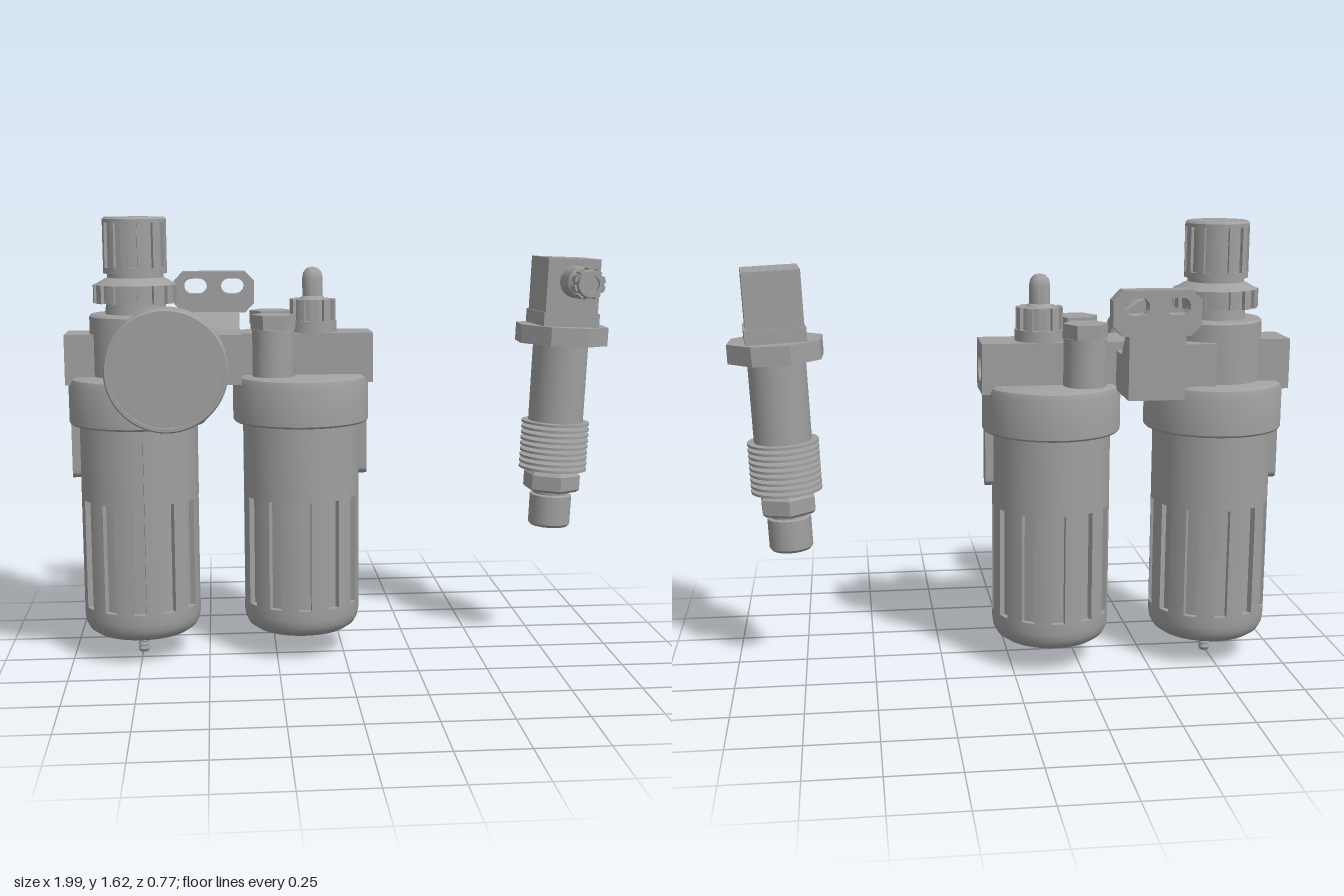
import * as THREE from 'three';
import { toCreasedNormals } from 'three/addons/utils/BufferGeometryUtils.js';

const metal = new THREE.MeshStandardMaterial({ color: 0xa0a0a0 });
metal.name = 'plain grey';

const CZ = -0.07;            // depth of the body's centre line
const FILTER_X = -0.746, OILER_X = -0.152;

function add(parent, name, geo, x = 0, y = 0, z = 0) {
  const m = new THREE.Mesh(toCreasedNormals(geo, 0.6), metal);
  m.name = name;
  m.position.set(x, y, z);
  parent.add(m);
  return m;
}

// Box given by its limits
function block(parent, name, x0, x1, y0, y1, z0, z1) {
  return add(parent, name, new THREE.BoxGeometry(x1 - x0, y1 - y0, z1 - z0),
    (x0 + x1) / 2, (y0 + y1) / 2, (z0 + z1) / 2);
}

// Turned solid from [radius, height] pairs, bottom to top
const turned = (pts, sides = 48) =>
  new THREE.LatheGeometry(pts.map(p => new THREE.Vector2(p[0], p[1])), sides);

const prism = (r, y0, y1, sides) =>
  new THREE.CylinderGeometry(r, r, y1 - y0, sides).translate(0, (y0 + y1) / 2, 0);

// Upright cylinder with n lengthwise grooves (has(i) selects which are cut)
function grooved(r, depth, n, half, y0, y1, has = () => true) {
  const pts = [], step = Math.PI * 2 / n;
  const put = (rad, a) => pts.push(new THREE.Vector2(rad * Math.cos(a), rad * Math.sin(a)));
  for (let i = 0; i < n; i++) {
    const a = i * step, inner = has(i) ? r - depth : r;
    put(r, a - half);
    if (has(i)) put(inner, a - half);
    put(inner, a);
    if (has(i)) put(inner, a + half);
    put(r, a + half);
    for (let k = 1; k < 4; k++) put(r, a + half + (step - 2 * half) * k / 4);
  }
  return new THREE.ExtrudeGeometry(new THREE.Shape(pts), { depth: y1 - y0, bevelEnabled: false })
    .rotateX(-Math.PI / 2).translate(0, y0, 0);
}

// Bowl with guard slots, one longer sight slot, collar and locking tab
function bowl(parent, name, x, longSlot, side) {
  const g = new THREE.Group();
  g.name = name;
  g.position.set(x, 0, CZ);
  parent.add(g);
  const R = 0.214;
  add(g, 'bowlBottom', turned([[0, 0.09], [0.15, 0.09], [0.175, 0.096], [0.198, 0.112],
    [0.21, 0.135], [R, 0.16], [R, 0.2], [0, 0.2]]));
  add(g, 'slottedGuard', grooved(R, 0.02, 12, 0.11, 0.2, 0.6));
  add(g, 'sightGuard', grooved(R, 0.02, 12, 0.11, 0.6, 0.835, i => i === longSlot));
  add(g, 'bowlTop', prism(R, 0.835, 0.9, 48));
  add(g, 'collar', turned([[0, 0.875], [0.243, 0.875], [0.249, 0.882], [0.249, 1.02],
    [0.243, 1.04], [0.225, 1.05], [0, 1.05]]));
  block(g, 'lockTab', side * 0.22 - 0.022, side * 0.22 + 0.022, 0.7, 0.89, -0.03, 0.03);
  add(g, 'lockTabEnd', prism(0.03, -0.022, 0.022, 20).rotateZ(Math.PI / 2), side * 0.22, 0.7, 0);
}

// Bar end with a round port
function portEnd(parent, x0, x1) {
  const s = new THREE.Shape([[-0.0875, -0.09], [0.0875, -0.09], [0.0875, 0.09], [-0.0875, 0.09]]
    .map(p => new THREE.Vector2(...p)));
  s.holes.push(new THREE.Path().absarc(0, 0, 0.055, 0, Math.PI * 2, true));
  add(parent, 'portEnd', new THREE.ExtrudeGeometry(s, { depth: x1 - x0, bevelEnabled: false, curveSegments: 24 })
    .rotateY(Math.PI / 2), x0, 1.11, -0.078);
}

function gauge(parent) {
  const g = new THREE.Group();
  g.name = 'pressureGauge';
  g.position.set(-0.628, 1.11, 0);
  parent.add(g);
  add(g, 'gaugeCase', turned([[0, 0.25], [0.2, 0.25], [0.208, 0.258], [0.208, 0.38], [0.203, 0.387],
    [0.192, 0.387], [0.192, 0.372], [0, 0.372]], 64).rotateX(Math.PI / 2));
  block(g, 'gaugeNeck', -0.053, 0.053, -0.075, 0.075, 0.187, 0.255);
  add(g, 'gaugeStem', prism(0.045, 0.08, 0.19, 32).rotateX(Math.PI / 2));
  // Scale marks, leaving a gap at the bottom
  for (let i = 0; i <= 16; i++) {
    const a = THREE.MathUtils.degToRad(225 - i * 270 / 16), len = i % 2 ? 0.025 : 0.04;
    const tick = add(g, 'scaleMark', new THREE.BoxGeometry(len, 0.006, 0.006),
      Math.cos(a) * (0.175 - len / 2), Math.sin(a) * (0.175 - len / 2), 0.374);
    tick.rotation.z = a;
  }
  const needle = new THREE.Shape([[-0.125, -0.003], [0, -0.013], [0.095, -0.004], [0.095, 0.004],
    [0, 0.013], [-0.125, 0.003]].map(p => new THREE.Vector2(...p)));
  add(g, 'needle', new THREE.ExtrudeGeometry(needle, { depth: 0.008, bevelEnabled: false }), 0, 0, 0.372)
    .rotation.z = 0.51;
  add(g, 'needleHub', prism(0.02, 0.372, 0.383, 20).rotateX(Math.PI / 2));
}

function bracket(parent) {
  const c = 0.035, w = 0.152, h = 0.078;
  const s = new THREE.Shape([[-w + c, -h], [w - c, -h], [w, -h + c], [w, h - c], [w - c, h],
    [-w + c, h], [-w, h - c], [-w, -h + c]].map(p => new THREE.Vector2(...p)));
  for (const x of [-0.07, 0.07]) {
    const hole = new THREE.Path();
    hole.absarc(x + 0.014, 0.022, 0.029, -Math.PI / 2, Math.PI / 2, false);
    hole.absarc(x - 0.014, 0.022, 0.029, Math.PI / 2, Math.PI * 1.5, false);
    s.holes.push(hole);
  }
  add(parent, 'bracketPlate', new THREE.ExtrudeGeometry(s, { depth: 0.062, bevelEnabled: false }),
    -0.465, 1.328, -0.385);
  // Arm outline in (-z, y), extruded across x
  const arm = new THREE.Shape([[0.15, 1.03], [0.385, 1.03], [0.385, 1.252], [0.323, 1.252],
    [0.255, 1.17], [0.15, 1.17]].map(p => new THREE.Vector2(...p)));
  add(parent, 'bracketArm', new THREE.ExtrudeGeometry(arm, { depth: 0.195, bevelEnabled: false })
    .rotateY(Math.PI / 2), -0.565, 0, 0);
}

function regulator(parent) {
  const g = new THREE.Group();
  g.name = 'regulator';
  g.position.set(FILTER_X, 0, CZ);
  parent.add(g);
  add(g, 'housing', turned([[0, 1.04], [0.168, 1.04], [0.168, 1.262], [0.16, 1.27], [0.11, 1.27],
    [0.107, 1.31], [0, 1.31]]));
  add(g, 'lockRing', grooved(0.152, 0.014, 16, 0.09, 1.31, 1.375));
  add(g, 'neck', turned([[0.145, 1.375], [0.12, 1.39], [0.1, 1.4], [0.1, 1.42], [0, 1.42]]));
  add(g, 'knobSkirt', prism(0.114, 1.415, 1.435, 48));
  add(g, 'knobGrip', grooved(0.114, 0.012, 12, 0.13, 1.435, 1.595));
  add(g, 'knobCap', turned([[0, 1.595], [0.114, 1.595], [0.114, 1.607], [0.106, 1.615], [0, 1.615]]));
}

function oiler(parent) {
  for (const z of [-0.18, 0.03]) {
    add(parent, 'plugBoss', prism(0.076, 1.03, 1.22, 32), -0.255, 0, z);
    add(parent, 'hexPlug', prism(0.08, 1.22, 1.27, 6).rotateY(Math.PI / 6), -0.255, 0, z);
  }
  add(parent, 'domeBase', prism(0.089, 1.19, 1.24, 32), -0.107, 0, -0.078);
  add(parent, 'domeGrip', grooved(0.084, 0.014, 10, 0.13, 1.24, 1.318), -0.107, 0, -0.078);
  add(parent, 'sightDome', turned([[0.05, 1.318], [0.037, 1.33], [0.037, 1.395], [0.033, 1.415],
    [0.02, 1.43], [0, 1.435]], 32), -0.107, 0, -0.078);
}

function sensor(parent) {
  const g = new THREE.Group();
  g.name = 'sensor';
  g.position.set(0.79, 0.457, -0.068);
  g.rotation.set(0, 0.09, -0.043);
  parent.add(g);
  add(g, 'threadedEnd', turned([[0, 0], [0.07, 0], [0.078, 0.01], [0.078, 0.118], [0.065, 0.122],
    [0.065, 0.14], [0, 0.14]]));
  add(g, 'hexNut', turned([[0, 0.135], [0.095, 0.135], [0.107, 0.145], [0.107, 0.198], [0.095, 0.21],
    [0, 0.21]], 6));
  add(g, 'core', prism(0.05, 0.2, 0.42, 32));
  for (let i = 0; i < 9; i++) add(g, 'coolingFin', prism(0.126, 0, 0.009, 48), 0, 0.218 + i * 0.0215, 0);
  add(g, 'tube', prism(0.102, 0.4, 0.7, 40));
  add(g, 'flangeNut', prism(0.174, 0.692, 0.76, 8).rotateY(0.25));
  block(g, 'connectorBase', -0.106, 0.106, 0.755, 0.81, -0.106, 0.106);
  block(g, 'connectorBox', -0.1, 0.1, 0.81, 1.008, -0.1, 0.1);
  const cable = new THREE.Group();
  cable.name = 'cableGland';
  cable.position.set(0.005, 0.925, 0);
  cable.rotation.x = Math.PI / 2;
  g.add(cable);
  add(cable, 'glandBody', turned([[0.058, 0.08], [0.058, 0.185], [0.05, 0.192], [0.042, 0.195],
    [0.042, 0.222], [0, 0.222]], 32));
  add(cable, 'glandNut', grooved(0.058, 0.008, 10, 0.12, 0.215, 0.255));
  add(cable, 'glandTip', turned([[0.05, 0.255], [0.047, 0.27], [0.03, 0.27], [0.03, 0.255], [0, 0.255]], 32));
}

export function createModel() {
  const root = new THREE.Group();
  root.name = 'airServiceUnit';

  // Bowls and drain
  bowl(root, 'filterBowl', FILTER_X, 9, -1);
  bowl(root, 'oilerBowl', OILER_X, 6, 1);
  const drain = [[0, 0], [0.016, 0]];
  for (let i = 0; i < 4; i++) drain.push([0.022, 0.012 + i * 0.016], [0.017, 0.024 + i * 0.016]);
  drain.push([0.024, 0.075], [0.024, 0.1]);
  add(root, 'drain', turned(drain, 20), FILTER_X, 0, CZ);

  // Main bar and connecting blocks
  portEnd(root, -1.0, -0.92);
  block(root, 'mainBar', -0.92, 0.03, 1.02, 1.2, -0.1655, 0.0095);
  portEnd(root, 0.03, 0.107);
  block(root, 'crossBlock', -0.71, -0.55, 1.02, 1.2, -0.255, 0.107);
  block(root, 'joint', -0.56, -0.37, 1.02, 1.2, -0.165, 0.05);
  add(root, 'jointScrew', turned([[0.035, 0.04], [0.035, 0.058], [0.022, 0.058], [0.022, 0.051], [0, 0.051]], 24)
    .rotateX(Math.PI / 2), -0.455, 1.11, 0);

  regulator(root);
  gauge(root);
  bracket(root);
  oiler(root);
  sensor(root);
  return root;
}
